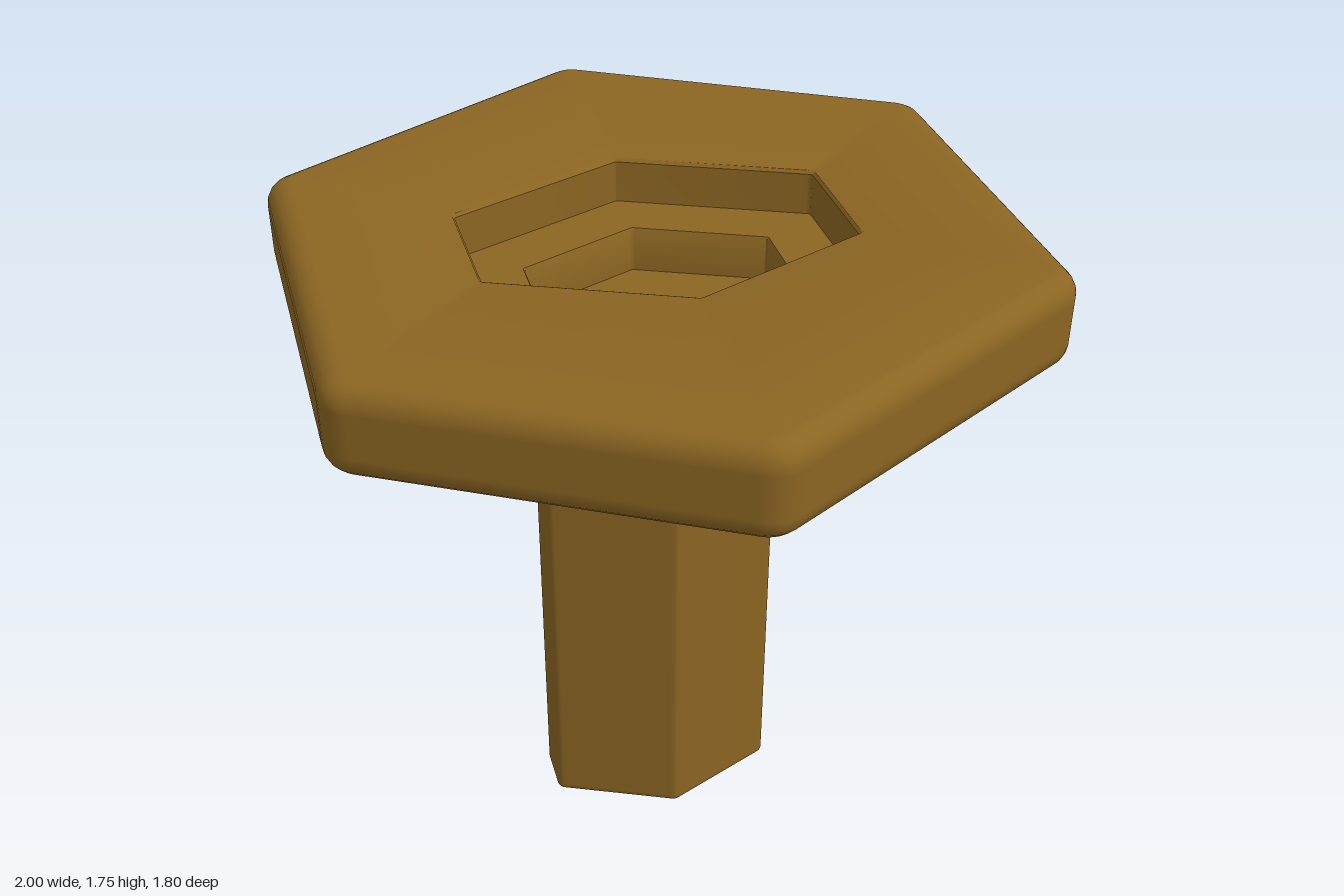
import * as THREE from 'three';
import { toCreasedNormals } from 'three/addons/utils/BufferGeometryUtils.js';

// Three corners (x, z), clockwise from above; the other three are their half-turn copies
const hexagon = (...half) => [...half, ...half.map(([x, z]) => [-x, -z])]
  .map(([x, z]) => new THREE.Vector2(x, z));

const PLATE = hexagon([-1.016, 0.045], [-0.535, -0.857], [0.465, -0.902]);
const RECESS = hexagon([-0.478, 0.10], [-0.20, -0.307], [0.297, -0.382]);
const SOCKET = hexagon([-0.302, 0.102], [-0.115, -0.175], [0.225, -0.226]);
const STEPS = 5; // segments of each rounded corner

// Ring of points: the polygon moved inward by inset, its corners rounded to radius r
function ring(poly, inset, r, y) {
  const points = [];
  poly.forEach((p, i) => {
    const u1 = p.clone().sub(poly[(i + 5) % 6]).normalize();
    const u2 = poly[(i + 1) % 6].clone().sub(p).normalize();
    const n1 = new THREE.Vector2(-u1.y, u1.x);
    const n2 = new THREE.Vector2(-u2.y, u2.x);
    const c = n1.clone().add(n2).multiplyScalar((inset + r) / (1 + n1.dot(n2))).add(p);
    const arc = [];
    for (let k = 0; k <= STEPS; k++) {
      const n = n1.clone().lerp(n2, k / STEPS).normalize();
      arc.push(c.clone().addScaledVector(n, -r));
    }
    // support points keep the long sides flat
    arc.unshift(arc[0].clone().addScaledVector(u1, -0.006));
    arc.push(arc[arc.length - 1].clone().addScaledVector(u2, 0.006));
    arc.forEach((q) => points.push([q.x, y, q.y]));
  });
  return points;
}

// Closed skin over rings listed from the underside outward and up to the top centre
function skin(rings) {
  const pos = [];
  const tri = (...corners) => corners.forEach((v) => pos.push(...v));
  const fan = (list, y, flip) => list.forEach((a, i) => {
    const b = list[(i + 1) % list.length];
    if (flip) tri([0, y, 0], b, a);
    else tri([0, y, 0], a, b);
  });
  const first = rings[0], last = rings[rings.length - 1];
  fan(first, first[0][1], false);
  for (let s = 0; s < rings.length - 1; s++) {
    const lo = rings[s], up = rings[s + 1];
    lo.forEach((a, i) => {
      const j = (i + 1) % lo.length;
      tri(a, up[j], lo[j]);
      tri(a, up[i], up[j]);
    });
  }
  fan(last, last[0][1], true);
  const geometry = new THREE.BufferGeometry();
  geometry.setAttribute('position', new THREE.Float32BufferAttribute(pos, 3));
  return toCreasedNormals(geometry, 0.6);
}

// Quarter-round edge: bottom runs outward and up, top runs up and inward
function roundEdge(poly, r, bevel, y, top, inset = 0) {
  const out = [];
  for (let k = 0; k <= 5; k++) {
    const a = (k / 5) * Math.PI / 2;
    const d = bevel * (1 - (top ? Math.cos(a) : Math.sin(a)));
    const h = top ? y - bevel * (1 - Math.sin(a)) : y + bevel * (1 - Math.cos(a));
    out.push(ring(poly, inset + d, Math.max(r - d, 0.004), h));
  }
  const s = 0.006, d = inset + bevel + s, rr = Math.max(r - bevel - s, 0.004);
  const flat = ring(poly, d, rr, y);
  const side = ring(poly, inset, r, top ? y - bevel - s : y + bevel + s);
  return top ? [side, ...out, flat] : [flat, ...out, side];
}

export function createModel() {
  const group = new THREE.Group();
  const material = new THREE.MeshStandardMaterial({ color: 0x8b6522 });
  const add = (name, rings) => {
    const mesh = new THREE.Mesh(skin(rings), material);
    mesh.name = name;
    group.add(mesh);
  };

  // Six-sided top with a stepped recess sunk into it
  add('tableTop', [
    ...roundEdge(PLATE, 0.09, 0.06, 1.505, false),
    ...roundEdge(PLATE, 0.09, 0.06, 1.75, true),
    ring(RECESS, -0.012, 0.012, 1.75),
    ring(RECESS, -0.006, 0.01, 1.748),
    ring(RECESS, 0, 0.008, 1.74),
    ring(RECESS, 0, 0.008, 1.63),
    ring(SOCKET, -0.003, 0.008, 1.63),
    ring(SOCKET, 0, 0.008, 1.625),
    ring(SOCKET, 0, 0.008, 1.512),
  ]);

  // Six-sided column, its outline following the socket
  add('column', [
    ...roundEdge(SOCKET, 0.025, 0.015, 0, false, 0.003),
    ring(SOCKET, 0.003, 0.025, 1.508),
  ]);

  return group;
}
